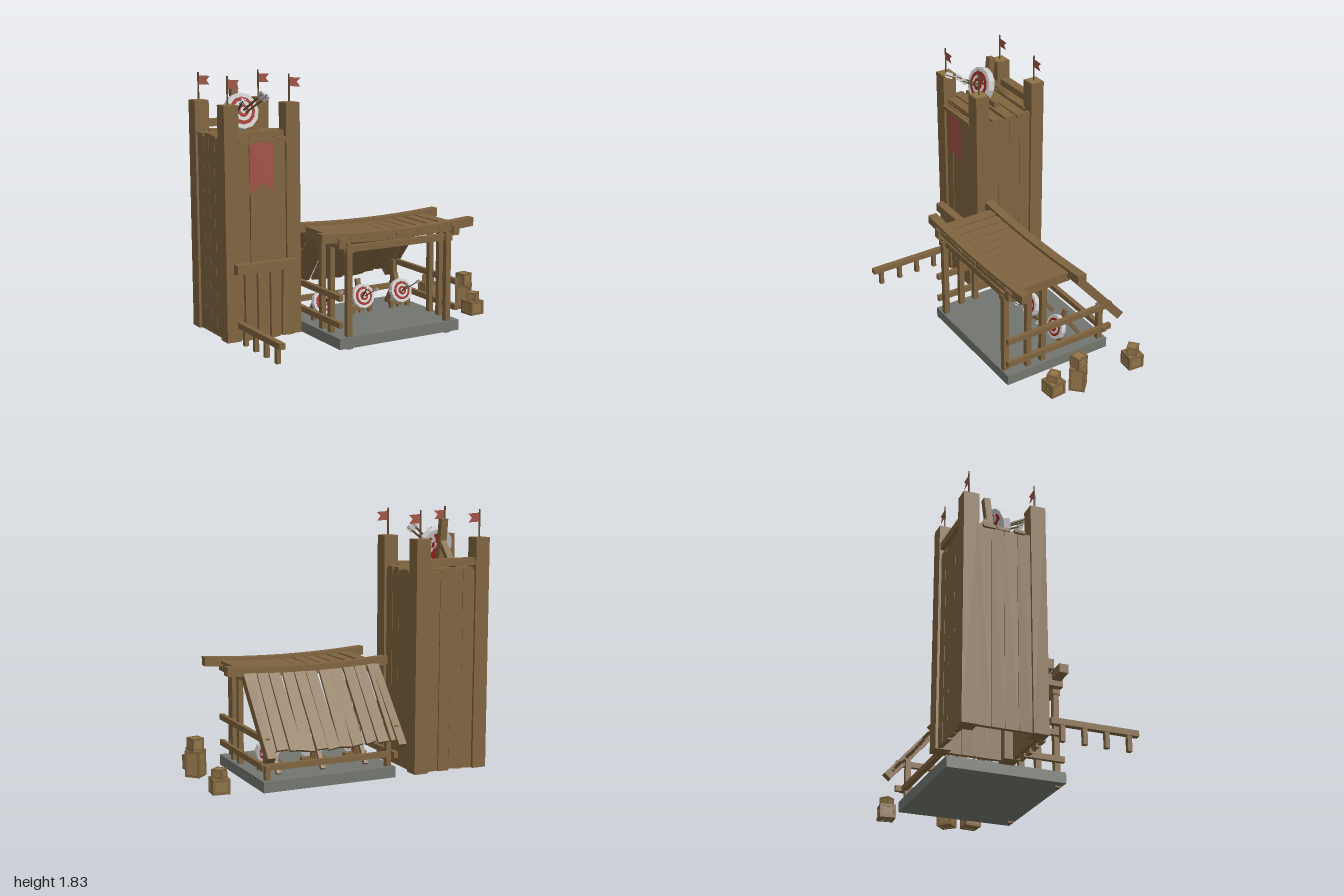
import * as THREE from 'three';

const mat = (color, side = THREE.FrontSide) =>
  new THREE.MeshStandardMaterial({ color, flatShading: true, side });
const wood = mat(0x7f643f), darkWood = mat(0x5f4a2e), paleWood = mat(0x8f7548), stone = mat(0x73766f);
const white = mat(0xcccccc), red = mat(0x9c2219), cloth = mat(0xa05145, THREE.DoubleSide);

let seed = 7;
const rnd = () => (seed = (seed * 16807) % 2147483647) / 2147483647 - 0.5;

function add(parent, name, geo, material, x = 0, y = 0, z = 0) {
  const m = new THREE.Mesh(geo, material);
  m.name = name;
  m.position.set(x, y, z);
  parent.add(m);
  return m;
}
const box = (p, name, w, h, d, x, y, z, m = wood) => add(p, name, new THREE.BoxGeometry(w, h, d), m, x, y, z);

// Square beam between two points; `warp` roughens its corners into a hewn plank
function beam(p, name, a, b, w, t, m = wood, warp = 0) {
  const A = new THREE.Vector3(...a), B = new THREE.Vector3(...b);
  const geo = new THREE.BoxGeometry(w, t, A.distanceTo(B));
  if (warp) {
    const pos = geo.attributes.position, shift = {};
    for (let i = 0; i < pos.count; i++) {
      const key = [pos.getX(i) > 0, pos.getZ(i) > 0].join();
      shift[key] ??= [rnd() * warp, rnd() * warp];
      pos.setX(i, pos.getX(i) + shift[key][0]);
      pos.setZ(i, pos.getZ(i) + shift[key][1]);
    }
    geo.computeVertexNormals();
  }
  const mesh = add(p, name, geo, m, ...A.clone().add(B).multiplyScalar(0.5).toArray());
  mesh.lookAt(B);
  return mesh;
}

function group(parent, name, x = 0, y = 0, z = 0) {
  const g = new THREE.Group();
  g.name = name;
  g.position.set(x, y, z);
  parent.add(g);
  return g;
}

// Flat cloth with a swallow-tail end
function clothGeo(points) {
  return new THREE.ShapeGeometry(new THREE.Shape(points.map(([x, y]) => new THREE.Vector2(x, y))));
}

// Round target with concentric rings, tipped backwards
function target(parent, x, y, z, r, thick) {
  const g = group(parent, 'target', x, y, z);
  g.rotation.x = -0.27;
  [1, 0.76, 0.56, 0.36, 0.18].forEach((k, i) => {
    const t = thick + i * 0.003;
    const c = add(g, 'targetRing', new THREE.CylinderGeometry(r * k, r * k, t, 12), i % 2 ? red : white,
      0, 0, t / 2 - thick / 2);
    c.rotation.x = Math.PI / 2;
  });
  return g;
}

// Arrow from target to tail, with crossed fletching
function arrow(parent, tip, tail, s) {
  const g = group(parent, 'arrow', ...tip);
  const len = new THREE.Vector3(...tip).distanceTo(new THREE.Vector3(...tail));
  box(g, 'arrowShaft', 0.011 * s, 0.011 * s, len, 0, 0, len / 2, darkWood);
  for (const a of [0, Math.PI / 2]) {
    const f = box(g, 'fletching', 0.04 * s, 0.005 * s, 0.055 * s, 0, 0, len - 0.025 * s, white);
    f.rotation.z = a + 0.4;
  }
  g.lookAt(new THREE.Vector3(...tail));
}

function crate(parent, x, y, z, w, h, turn) {
  const g = group(parent, 'crate', x, y + h / 2, z), e = w * 0.16, o = w / 2 - e / 2;
  g.rotation.y = turn;
  box(g, 'crateBody', w * 0.9, h * 0.94, w * 0.9, 0, 0, 0, paleWood);
  for (const a of [-1, 1]) for (const b of [-1, 1]) {
    box(g, 'crateEdge', e, h, e, a * o, 0, b * o);
    box(g, 'crateEdge', w, e, e, 0, a * (h / 2 - e / 2), b * o);
    box(g, 'crateEdge', e, e, w, a * o, b * (h / 2 - e / 2), 0);
  }
}

function buildTower(root) {
  const g = group(root, 'tower');
  const X = [-0.94, -0.485], Z = [-0.09, -0.55];
  // Corner posts with flags
  for (const x of X) for (const z of Z) {
    box(g, 'towerPost', 0.104, 1.59, 0.104, x, 0.845, z);
    box(g, 'postCap', 0.085, 0.004, 0.085, x, 1.64, z, paleWood);
    add(g, 'flagPole', new THREE.CylinderGeometry(0.006, 0.006, 0.2, 6), darkWood, x, 1.73, z);
    add(g, 'flag', clothGeo([[0, 0], [0.085, -0.005], [0.06, 0.028], [0.09, 0.055], [0, 0.06]]), cloth, x, 1.745, z);
  }
  // Plank walls
  for (let i = 0; i < 4; i++) {
    const x = -0.846 + i * 0.089, z = -0.186 - i * 0.089;
    for (const wz of [-0.07, -0.57]) beam(g, 'wallPlank', [x, 0.055, wz], [x, 1.42, wz], 0.087, 0.03, wood, 0.012);
    for (const wx of [-0.96, -0.465]) {
      const m = beam(g, 'wallPlank', [wx, 0.055, z], [wx, 1.42, z], 0.03, 0.087, wood);
      m.rotateZ(rnd() * 0.05);
    }
  }
  // Deck planks and end beams
  for (let i = 0; i < 5; i++) {
    const z = -0.115 - i * 0.102, e = i % 4 ? 0 : 0.09, y = 1.425 + rnd() * 0.01;
    beam(g, 'deckPlank', [-0.99 + e, y, z], [-0.435 - e, y + rnd() * 0.015, z], 0.088, 0.022, wood, 0.018);
  }
  box(g, 'bannerBeam', 0.36, 0.03, 0.03, -0.712, 1.4, -0.045);
  box(g, 'frontDeckBeam', 0.36, 0.03, 0.06, -0.712, 1.44, -0.105);
  box(g, 'rearDeckBeam', 0.36, 0.05, 0.07, -0.712, 1.48, -0.56);
  add(g, 'banner', clothGeo([[-0.095, 0], [-0.1, -0.34], [0, -0.27], [0.085, -0.34], [0.085, 0]]), cloth, -0.722, 1.385, -0.027);
  // Gate of spaced planks under a lintel
  box(g, 'gateLintel', 0.45, 0.065, 0.06, -0.715, 0.553, -0.005);
  for (let i = 0; i < 4; i++) {
    const x = -0.83 + i * 0.093;
    beam(g, 'gatePlank', [x, 0.055, -0.02], [x, 0.53, -0.02], 0.076, 0.025, wood, 0.01);
  }
  // Roof target on its stand
  const t = target(g, -0.755, 1.575, -0.275, 0.125, 0.05);
  t.rotation.y = 0.08;
  beam(g, 'targetPost', [-0.768, 1.43, -0.325], [-0.768, 1.76, -0.365], 0.05, 0.045);
  beam(g, 'targetBrace', [-0.768, 1.61, -0.345], [-0.768, 1.435, -0.5], 0.045, 0.035);
  box(g, 'targetFoot', 0.29, 0.045, 0.045, -0.755, 1.455, -0.32);
  arrow(g, [-0.8, 1.57, -0.25], [-0.85, 1.67, -0.04], 1);
  arrow(g, [-0.75, 1.58, -0.25], [-0.705, 1.71, -0.04], 1);
  arrow(g, [-0.74, 1.56, -0.25], [-0.66, 1.69, -0.06], 1);
  // Hitching rail in front
  const f = group(root, 'railFence', -0.915, 0, 0);
  box(f, 'fenceRail', 0.04, 0.04, 0.6, 0, 0.178, 0.3);
  for (const z of [0.08, 0.23, 0.38, 0.535]) box(f, 'fencePost', 0.03, 0.11, 0.03, 0, 0.108, z);
}

function buildShelter(root) {
  const g = group(root, 'shelter');
  box(g, 'platform', 0.97, 0.075, 0.83, 0.125, 0.0475, -0.05, stone);
  // Sagging long beams
  for (const z of [-0.135, 0.31]) {
    const geo = new THREE.BoxGeometry(1.225, 0.062, 0.066, 8);
    const p = geo.attributes.position;
    for (let i = 0; i < p.count; i++) p.setY(i, p.getY(i) + 0.025 * (p.getX(i) / 0.61) ** 2);
    geo.computeVertexNormals();
    add(g, 'roofBeam', geo, wood, 0.13, 0.748, z);
  }
  // Roof planks: flat front part and steep back slope
  for (let i = 0; i < 11; i++) {
    const x = -0.32 + i * 0.0905, y = 0.748 + 0.015 * ((x - 0.13) / 0.45) ** 2;
    beam(g, 'flatRoofPlank', [x, y, 0.35], [x, y, -0.13], 0.084, 0.02, wood, 0.014);
    beam(g, 'slopeRoofPlank', [x, y + 0.01, -0.14], [x, 0.285 + rnd() * 0.02, -0.53], 0.084, 0.02, wood, 0.02);
  }
  // Frame on both ends
  for (const s of [-1, 1]) {
    const at = (d) => 0.125 + s * d;
    beam(g, 'slopeRafter', [at(0.475), 0.755, -0.125], [at(0.475), 0.25, -0.565], 0.058, 0.06);
    box(g, 'flatRafter', 0.05, 0.07, 0.49, at(0.46), 0.73, 0.115);
    box(g, 'frontPost', 0.04, 0.72, 0.04, at(0.4), 0.36, 0.335);
    box(g, 'postBlock', 0.055, 0.04, 0.055, at(0.4), 0.68, 0.335);
    for (const z of [0.18, 0.06]) box(g, 'sidePost', 0.035, 0.62, 0.04, at(0.445), 0.395, z);
    box(g, 'rearPost', 0.035, 0.29, 0.04, at(0.445), 0.23, -0.42);
    box(g, 'sideRail', 0.03, 0.04, 0.86, at(0.47), 0.36, -0.07);
    box(g, 'lowSideRail', 0.03, 0.04, 0.86, at(0.47), 0.175, -0.07);
  }
  box(g, 'frontLintel', 0.87, 0.045, 0.035, 0.125, 0.685, 0.325);
  box(g, 'rearRail', 0.99, 0.038, 0.035, 0.125, 0.173, -0.44);
  // Row of practice targets with easels
  [-0.2, 0.125, 0.45].forEach((x, i) => {
    target(g, x, 0.21, -0.14, 0.088, 0.035);
    beam(g, 'easelPost', [x, 0.085, -0.155], [x, 0.325, -0.215], 0.035, 0.025);
    beam(g, 'easelBrace', [x, 0.28, -0.2], [x, 0.09, -0.33], 0.03, 0.025);
    box(g, 'easelFoot', 0.17, 0.03, 0.035, x, 0.125, -0.16);
    for (const s of [-1, 1]) box(g, 'easelLeg', 0.025, 0.05, 0.03, x + s * 0.07, 0.1, -0.16);
    const k = i === 1 ? 1 : -1;
    arrow(g, [x, 0.21, -0.12], [x + 0.03 * k, 0.29, 0.01], 0.6);
    arrow(g, [x - 0.02, 0.2, -0.12], [x - 0.06 * k, 0.31, 0.02], 0.6);
  });
}

export function createModel() {
  seed = 7;
  const root = new THREE.Group();
  root.name = 'archeryRange';
  buildTower(root);
  buildShelter(root);
  // Crate stacks
  const c = group(root, 'crates');
  crate(c, 0.875, 0.05, 0.17, 0.115, 0.1, 0.08);
  crate(c, 0.875, 0.15, 0.17, 0.075, 0.06, 0.6);
  crate(c, 0.917, 0.05, 0, 0.108, 0.18, 0.78);
  crate(c, 0.917, 0.23, 0, 0.085, 0.085, 0.2);
  crate(c, 0.915, 0.05, -0.46, 0.115, 0.1, -0.1);
  crate(c, 0.915, 0.15, -0.46, 0.075, 0.06, 0.7);
  return root;
}
